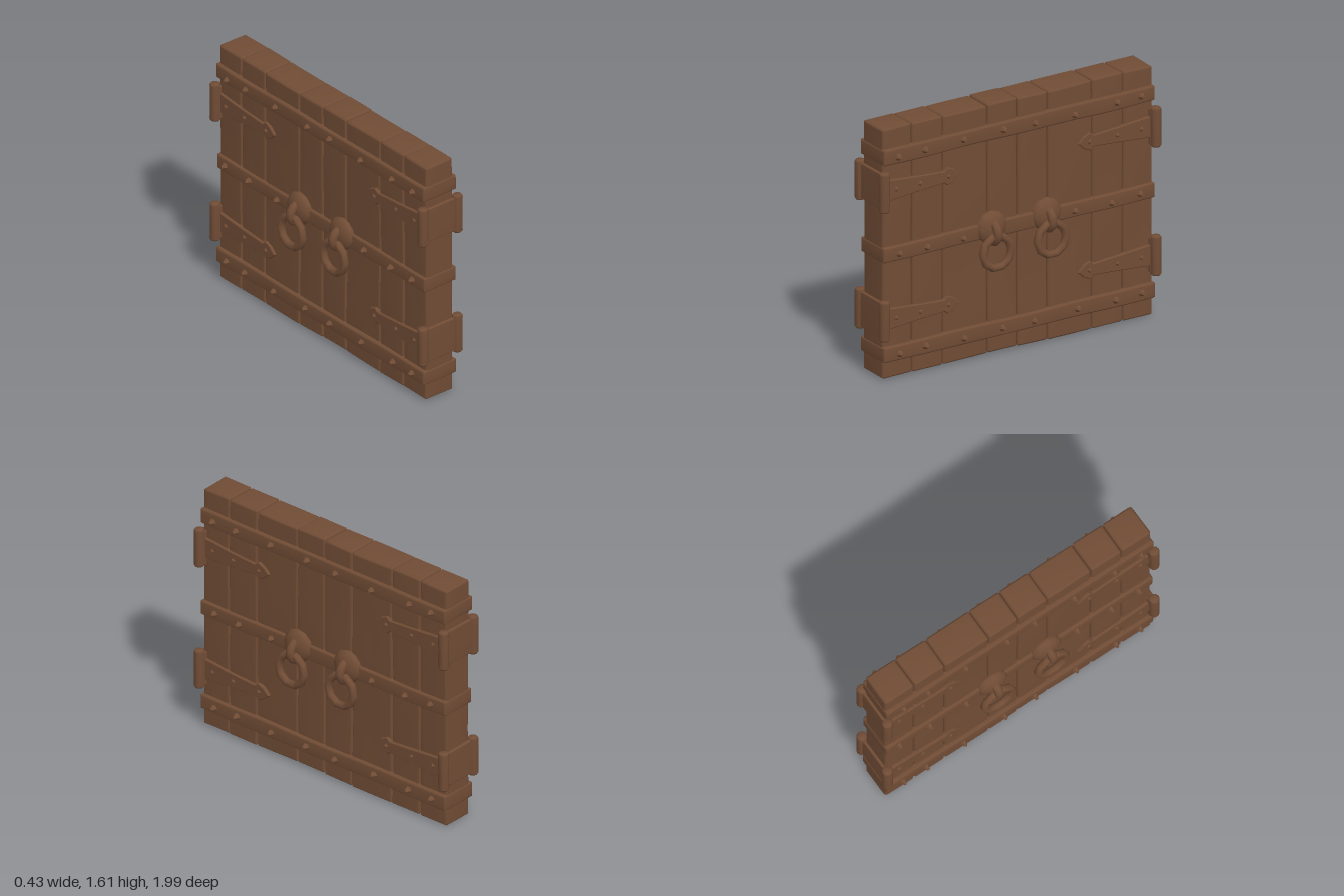
import * as THREE from 'three';
import { mergeVertices } from 'three/addons/utils/BufferGeometryUtils.js';

const wood = new THREE.MeshStandardMaterial({ color: 0x704c35 });
wood.name = 'brown wood';

let seed = 7;
const rand = () => (seed = (seed * 16807) % 2147483647) / 2147483647;

// Gentle carved wobble as a function of position
const wave = (a, b, c) => Math.sin(a * 9 + b * 3.1 + 1) * Math.cos(b * 7 + c * 11) * 0.6 + Math.sin(c * 23 + a * 5) * 0.4;

// Box with worn, chamfered edges and slightly uneven faces
function wornBox(w, h, d, x, y, z, bevel = 0.012, wobble = 0.004, segs = [3, 8, 3]) {
  let g = new THREE.BoxGeometry(w, h, d, ...segs);
  g.deleteAttribute('uv');
  g.deleteAttribute('normal');
  g = mergeVertices(g);
  const p = g.attributes.position, half = [w / 2, h / 2, d / 2];
  for (let i = 0; i < p.count; i++) {
    const v = [p.getX(i), p.getY(i), p.getZ(i)];
    const outer = v.map((c, k) => Math.abs(Math.abs(c) - half[k]) < 1e-5);
    const edge = outer.filter(Boolean).length > 1;
    const out = v.map((c, k) => {
      const step = (2 * half[k]) / segs[k];
      if (outer[k]) return edge ? c - Math.sign(c) * bevel * 0.4 : c;
      // first inner ring sits right beside the edge
      return Math.abs(Math.abs(c) - (half[k] - step)) < 1e-5 ? Math.sign(c) * (half[k] - bevel) : c;
    });
    const [a, b, c] = [out[0] + x, out[1] + y, out[2] + z];
    p.setXYZ(i, a + wave(b, c, a) * wobble, b + wave(c, a, b) * wobble, c + wave(a, b, c) * wobble * 0.6);
  }
  g.computeVertexNormals();
  return g;
}

function add(parent, name, geometry, x = 0, y = 0, z = 0) {
  const m = new THREE.Mesh(geometry, wood);
  m.name = name;
  m.position.set(x, y, z);
  parent.add(m);
  return m;
}

// Pointed stud facing +x
function stud(parent, x, y, z, r = 0.024, h = 0.035) {
  const g = new THREE.CylinderGeometry(r * 0.35, r, h, 6).toNonIndexed();
  g.computeVertexNormals();
  add(parent, 'stud', g, x + h / 2 - 0.002, y, z).rotation.z = -Math.PI / 2;
}

// Tapered strap with an arrow tip; s is the side (+1 or -1 in z)
function strap(parent, y, s) {
  const pts = [[0.95, -0.065], [0.72, -0.045], [0.53, -0.032], [0.505, -0.052], [0.465, -0.035], [0.43, 0],
    [0.465, 0.035], [0.505, 0.052], [0.53, 0.032], [0.72, 0.045], [0.95, 0.065]];
  const shape = new THREE.Shape(pts.map(([z, v]) => new THREE.Vector2(-z * s, v)));
  const g = new THREE.ExtrudeGeometry(shape, { depth: 0.022, bevelEnabled: true, bevelSize: 0.005, bevelThickness: 0.005, bevelSegments: 1 });
  g.rotateY(Math.PI / 2);
  add(parent, 'hingeStrap', g, 0.096, y, 0);
  for (const z of [0.87, 0.7, 0.5]) stud(parent, 0.122, y, z * s, 0.018, 0.014);
}

// Rosette, staple and hanging ring
function ringPull(parent, z) {
  const pull = new THREE.Group();
  pull.name = 'ringPull';
  pull.position.z = z;
  parent.add(pull);
  const profile = [[0, 0.065], [0.05, 0.06], [0.088, 0.042], [0.105, 0.022], [0.102, 0]].map((q) => new THREE.Vector2(...q)).reverse();
  add(pull, 'rosette', new THREE.LatheGeometry(profile, 12), 0.1, 0.83, 0).rotation.z = -Math.PI / 2;
  const arch = new THREE.TorusGeometry(0.06, 0.029, 8, 10, Math.PI);
  arch.rotateZ(-Math.PI / 2);
  add(pull, 'staple', arch, 0.128, 0.805, 0);
  const ring = new THREE.TorusGeometry(0.1, 0.025, 8, 10);
  ring.rotateY(Math.PI / 2);
  add(pull, 'ring', ring, 0.178, 0.69, 0).rotation.z = 0.05;
}

export function createModel() {
  const door = new THREE.Group();
  door.name = 'doubleDoor';

  // Planks, four to each leaf
  const seams = [-0.96, -0.75, -0.53, -0.215, 0, 0.215, 0.53, 0.75, 0.96];
  for (let i = 0; i < seams.length - 1; i++) {
    const d = seams[i + 1] - seams[i];
    const lo = 0.008 + rand() * 0.01, hi = 1.617 - rand() * 0.01;
    add(door, 'plank', wornBox(0.208 + rand() * 0.006, hi - lo, d - 0.001, 0, (lo + hi) / 2, (seams[i] + seams[i + 1]) / 2,
      0.014, 0.004, [4, 14, 5]));
  }

  // Bands wrapped round both leaves
  const bands = [[0.172, 0.1, 0.26], [0.812, 0.1, 0.25], [1.438, 0.1, 0.26]];
  for (const [y, h, w] of bands) {
    add(door, 'band', wornBox(w, h, 1.93, 0, y, 0, 0.012, 0.004, [4, 4, 40]));
  }

  // Hinge plates round the outer edges
  for (const y of [0.4, 1.225]) {
    for (const s of [-1, 1]) {
      add(door, 'hingePlate', wornBox(0.26, 0.23, 0.05, 0, y, 0.952 * s, 0.008, 0.003, [4, 4, 3]));
    }
  }

  // Both faces carry the same ironwork
  for (const turn of [0, Math.PI]) {
    const face = new THREE.Group();
    face.name = turn ? 'rightFace' : 'leftFace';
    face.rotation.y = turn;
    door.add(face);
    for (const s of [-1, 1]) {
      for (const y of [0.4, 1.225]) {
        strap(face, y, s);
        const barrel = [[0, -0.128], [0.027, -0.126], [0.034, -0.115], [0.032, 0], [0.034, 0.115], [0.027, 0.126], [0, 0.128]];
        add(face, 'hingeBarrel', new THREE.LatheGeometry(barrel.map((q) => new THREE.Vector2(...q)), 10), 0.133, y, 0.963 * s);
      }
      ringPull(face, 0.195 * s);
      bands.forEach(([y, , w], i) => {
        for (const z of i === 1 ? [0.86, 0.66, 0.4] : [0.86, 0.68, 0.4, 0.11]) {
          stud(face, w / 2 - 0.003, y - 0.005 + (rand() - 0.5) * 0.02, (z + (rand() - 0.5) * 0.03) * s);
        }
      });
    }
  }
  return door;
}
